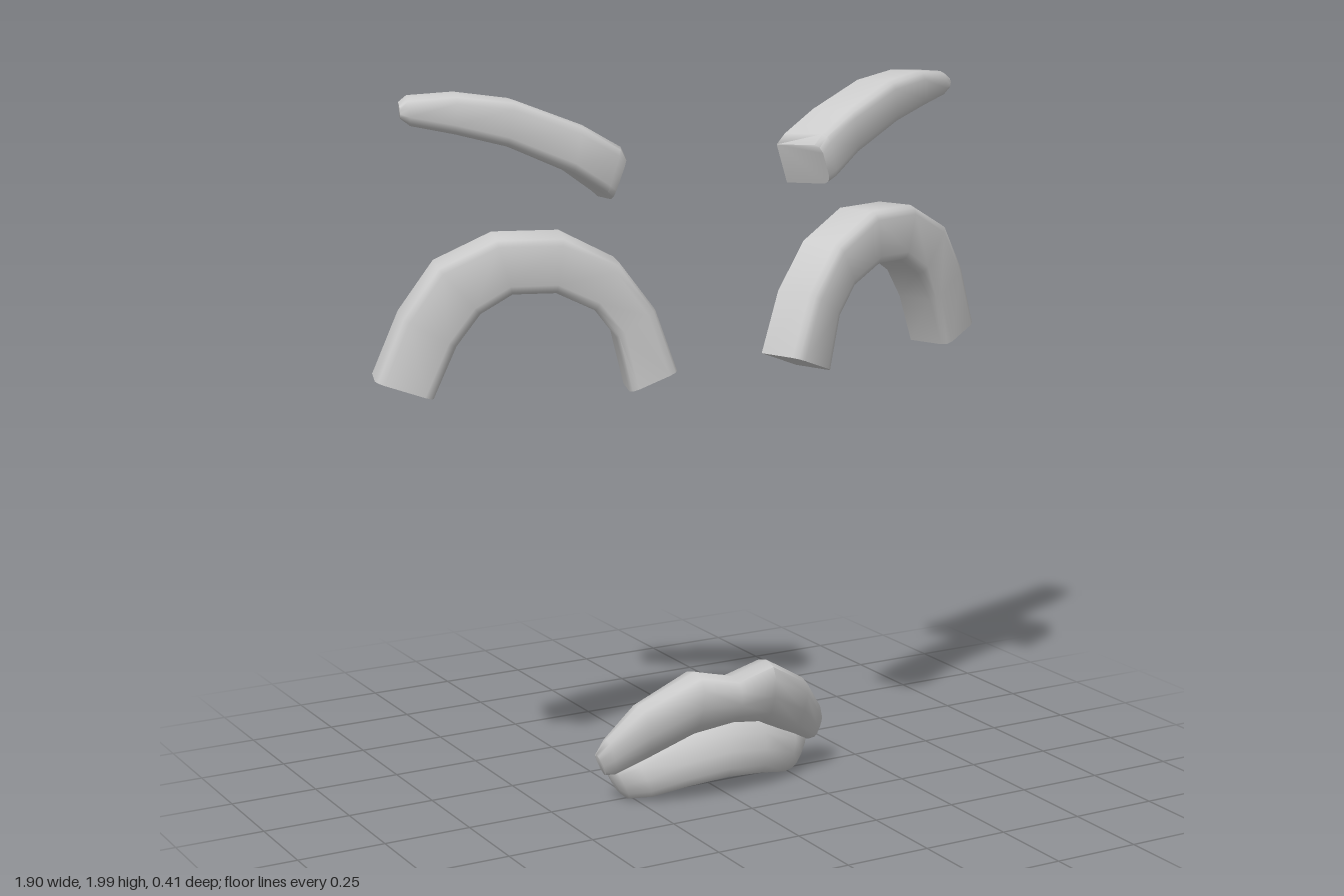
import * as THREE from 'three';
import { toCreasedNormals } from 'three/addons/utils/BufferGeometryUtils.js';

const material = new THREE.MeshStandardMaterial({ color: 0xcccccc });
const V = (x, y, z) => new THREE.Vector3(x, y, z);

// Closed skin through a row of equal-sized rings, capped at both ends.
function loft(name, rings, crease, mirror = 1) {
  const n = rings[0].length;
  const points = rings.flat().map((p) => V(p.x * mirror, p.y, p.z));
  const faces = [];
  for (let i = 0; i < rings.length - 1; i++) {
    for (let j = 0; j < n; j++) {
      const a = i * n + j, b = i * n + ((j + 1) % n);
      faces.push([a, b, b + n], [a, b + n, a + n]);
    }
  }
  const last = (rings.length - 1) * n;
  for (let j = 1; j < n - 1; j++) {
    faces.push([0, j + 1, j], [last, last + j, last + j + 1]);
  }
  // Turn the faces outward whichever way the rings run
  let volume = 0;
  for (const [a, b, c] of faces) {
    volume += points[a].dot(points[b].clone().cross(points[c]));
  }
  if (volume < 0) faces.forEach((f) => f.reverse());

  const geometry = new THREE.BufferGeometry().setFromPoints(points);
  geometry.setIndex(faces.flat());
  const mesh = new THREE.Mesh(toCreasedNormals(geometry, crease), material);
  mesh.name = name;
  return mesh;
}

// Bar section: square at the back, bevelled along the two front edges.
function barRing(top, bottom, depth, bevel) {
  const across = bottom.clone().sub(top).normalize();
  const back = depth.clone().normalize();
  const at = (p, a, d) => p.clone().addScaledVector(across, a).addScaledVector(back, d);
  const b = bevel, k = bevel * 0.3;
  return [
    top.clone().add(depth), at(top, 0, b), at(top, k, k), at(top, b, 0),
    at(bottom, -b, 0), at(bottom, -k, k), at(bottom, 0, b), bottom.clone().add(depth),
  ];
}

// Eye arch: [outer x, outer y, inner x, inner y] from the nose outward
const eyeStations = [
  [0.19, 1.25, 0.32, 1.2], [0.25, 1.42, 0.355, 1.35], [0.345, 1.55, 0.41, 1.425],
  [0.49, 1.628, 0.51, 1.475], [0.66, 1.628, 0.62, 1.475], [0.805, 1.555, 0.7, 1.425],
  [0.893, 1.42, 0.76, 1.34], [0.958, 1.25, 0.818, 1.2],
];
const eyeZ = (x) => 0.205 - 0.12 * x - 0.19 * x * x;

function eyeRings() {
  const depth = V(-0.045, 0, -0.128);
  return eyeStations.map(([ox, oy, ix, iy]) =>
    barRing(V(ox, oy, eyeZ(ox)), V(ix, iy, eyeZ(ix)), depth, 0.025));
}

// Brow: [top x, top y, bottom x, bottom y] from the nose outward
const browStations = [
  [0.3, 1.825, 0.34, 1.715], [0.32, 1.855, 0.36, 1.73], [0.42, 1.915, 0.445, 1.79],
  [0.59, 1.983, 0.61, 1.862], [0.73, 2.0, 0.735, 1.895], [0.845, 1.99, 0.84, 1.917],
  [0.865, 1.972, 0.863, 1.937],
];
const browZ = (x) => 0.155 - 0.06 * x - 0.27 * x * x;

function browRings() {
  return browStations.map(([tx, ty, bx, by], i) => {
    const t = (tx - 0.3) / 0.565;
    const depth = V(-0.04, -0.012 * (1 - t), -0.17 + 0.07 * t);
    const inset = i === 0 ? 0.012 : 0;
    return barRing(V(tx, ty, browZ(tx) - inset), V(bx, by, browZ(bx) - inset),
      depth, Math.min(0.025, (ty - by) * 0.4));
  });
}

// Lip stations: [top x, top y, bottom x, bottom y, back z, front z, forward lean of the top]
const upperLip = [
  [0, 0.36, 0, 0.218, 0.045, 0.195, 0.02], [0.116, 0.388, 0.115, 0.195, 0.03, 0.18, 0.025],
  [0.265, 0.3, 0.235, 0.13, 0, 0.12, 0.02], [0.345, 0.2, 0.315, 0.088, -0.01, 0.06, 0.01],
  [0.368, 0.155, 0.34, 0.09, 0, 0.035, 0],
];
const lowerLip = [
  [0, 0.22, 0, 0.048, -0.005, 0.132, -0.02], [0.14, 0.195, 0.12, 0.035, -0.015, 0.112, -0.02],
  [0.265, 0.14, 0.215, 0.012, -0.028, 0.08, -0.01], [0.315, 0.11, 0.265, 0.005, -0.025, 0.04, 0],
  [0.325, 0.095, 0.285, 0.022, -0.018, 0.015, 0],
];

// Rounded lip section
function lipRing([tx, ty, bx, by, z0, z1, lean], side) {
  const ring = [];
  const soft = (v) => Math.sign(v) * Math.abs(v) ** 0.85;
  for (let j = 0; j < 12; j++) {
    const a = (j / 12) * Math.PI * 2;
    const u = soft(Math.cos(a)), w = soft(Math.sin(a));
    ring.push(V(
      side * THREE.MathUtils.lerp(bx, tx, (u + 1) / 2),
      THREE.MathUtils.lerp(by, ty, (u + 1) / 2),
      (z0 + z1) / 2 + w * (z1 - z0) / 2 + u * lean,
    ));
  }
  return ring;
}

// Full lip: the half profile mirrored across the middle
function lipRings(stations) {
  const left = stations.map((s) => lipRing(s, 1));
  const right = stations.slice(1).reverse().map((s) => lipRing(s, -1));
  return [...right, ...left];
}

export function createModel() {
  const group = new THREE.Group();
  group.name = 'face';
  for (const [side, mirror] of [['left', 1], ['right', -1]]) {
    group.add(loft(side + 'Eyebrow', browRings(), 0.9, mirror));
    group.add(loft(side + 'EyeArch', eyeRings(), 0.9, mirror));
  }
  group.add(loft('upperLip', lipRings(upperLip), 1.1));
  group.add(loft('lowerLip', lipRings(lowerLip), 1.1));
  return group;
}
